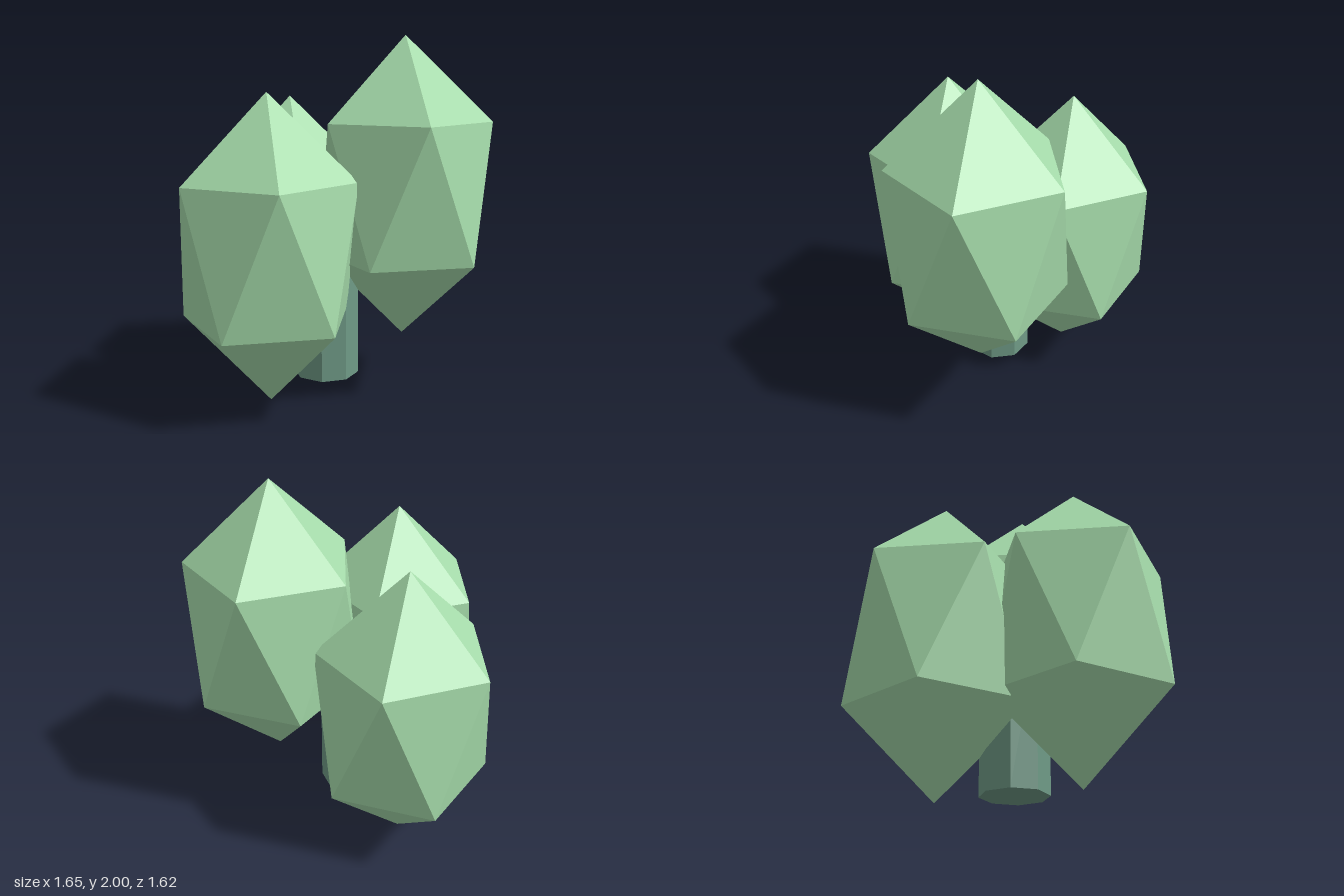
import * as THREE from 'three';

export function createModel() {
  const model = new THREE.Group();
  model.name = 'tree';

  const leafGreen = new THREE.MeshStandardMaterial({ color: 0xa6dcab, flatShading: true });
  leafGreen.name = 'leafGreen';
  const trunkGreen = new THREE.MeshStandardMaterial({ color: 0x6f9a86, flatShading: true });
  trunkGreen.name = 'trunkGreen';

  // Tall icosahedron standing on a corner, with an upper ring corner towards +x
  const crown = new THREE.IcosahedronGeometry(1, 0);
  crown.rotateZ(Math.atan(2 / (1 + Math.sqrt(5))));
  crown.rotateY(Math.PI);
  crown.scale(0.532, 0.83, 0.532);

  // Three leaf crowns at different heights
  const crowns = [
    ['rightCrown', 0.345, 1.17, 0],
    ['frontCrown', -0.345, 0.878, 0.355],
    ['backCrown', -0.35, 0.832, -0.357],
  ];
  for (const [name, x, y, z] of crowns) {
    const mesh = new THREE.Mesh(crown, leafGreen);
    mesh.name = name;
    mesh.position.set(x, y, z);
    model.add(mesh);
  }

  // Eight-sided trunk between the crowns
  const bottom = 0.09, top = 0.9;
  const trunk = new THREE.Mesh(new THREE.CylinderGeometry(0.185, 0.185, top - bottom, 8), trunkGreen);
  trunk.name = 'trunk';
  trunk.position.set(-0.09, (top + bottom) / 2, 0);
  model.add(trunk);

  return model;
}
